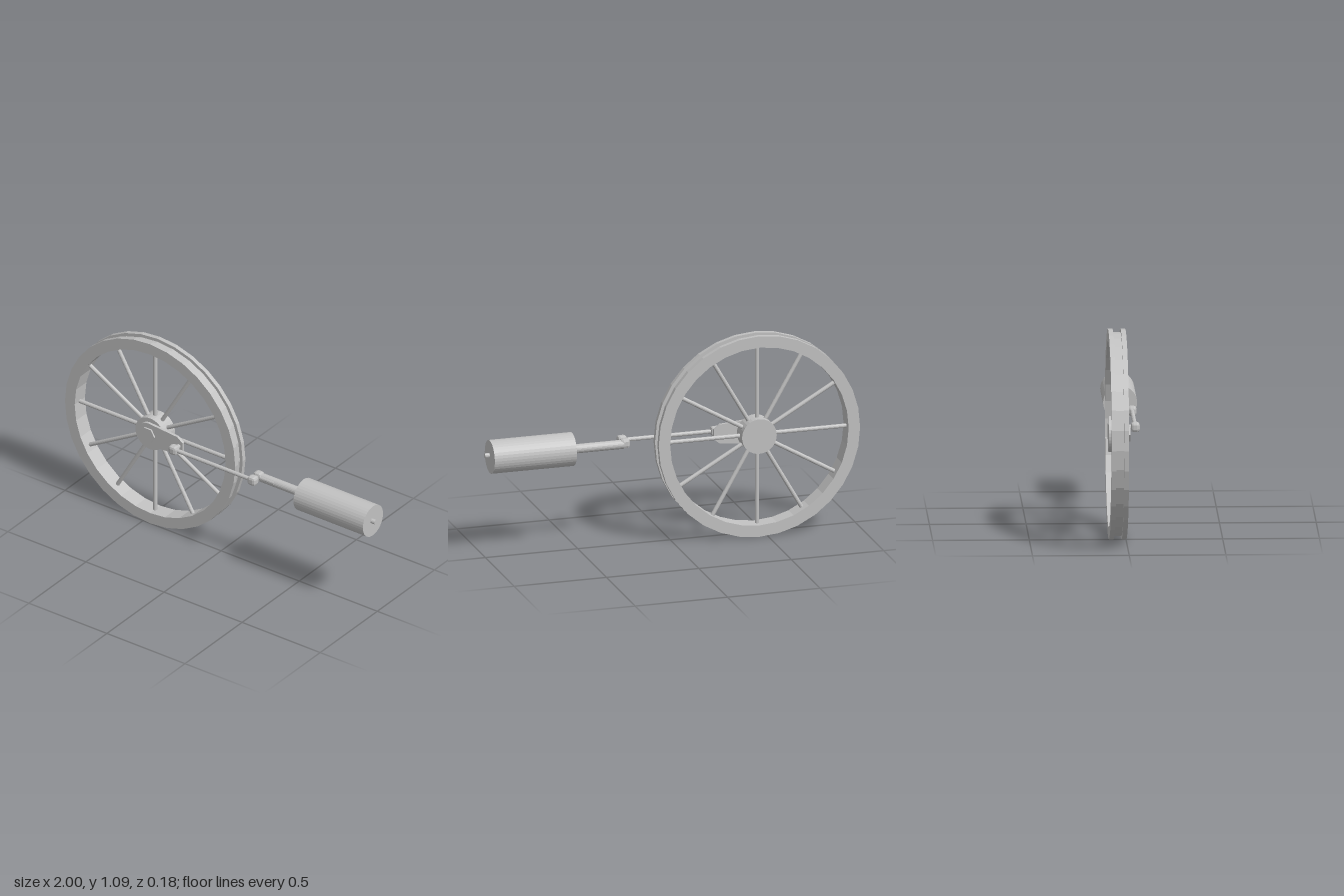
import * as THREE from 'three';
import { RoundedBoxGeometry } from 'three/addons/geometries/RoundedBoxGeometry.js';

const metal = new THREE.MeshStandardMaterial({ color: 0xc2c2c2 });
metal.name = 'grey metal';
metal.flatShading = true;

const v = (x, y, z) => new THREE.Vector3(x, y, z);
const UP = v(0, 1, 0);

function add(parent, name, geometry) {
  const mesh = new THREE.Mesh(geometry, metal);
  mesh.name = name;
  parent.add(mesh);
  return mesh;
}

// Cylinder running between two points
function bar(parent, name, a, b, radius, sides = 12) {
  const mesh = add(parent, name, new THREE.CylinderGeometry(radius, radius, a.distanceTo(b), sides));
  mesh.position.copy(a).add(b).multiplyScalar(0.5);
  mesh.quaternion.setFromUnitVectors(UP, b.clone().sub(a).normalize());
  return mesh;
}

// Chamfered joint block
function joint(parent, name, x, y, z) {
  add(parent, name, new RoundedBoxGeometry(0.05, 0.05, 0.046, 1, 0.014)).position.set(x, y, z);
}

function createWheel() {
  const wheel = new THREE.Group();
  wheel.name = 'wheel';

  // Rim with two flanges and a groove; the profile is radius, depth
  const profile = [
    [0.483, -0.09], [0.545, -0.09], [0.545, -0.066], [0.527, -0.066],
    [0.527, -0.025], [0.545, -0.025], [0.545, 0], [0.483, 0], [0.483, -0.09],
  ].map(([r, z]) => new THREE.Vector2(r, z));
  add(wheel, 'rim', new THREE.LatheGeometry(profile, 32).rotateX(Math.PI / 2));

  bar(wheel, 'hub', v(0, 0, -0.09), v(0, 0, 0), 0.094, 32);

  // Twelve round spokes
  for (let i = 0; i < 12; i++) {
    const a = (i * Math.PI) / 6;
    const c = Math.cos(a), s = Math.sin(a);
    bar(wheel, 'spoke', v(c * 0.08, s * 0.08, -0.045), v(c * 0.49, s * 0.49, -0.045), 0.011);
  }
  return wheel;
}

function createCrank() {
  const crank = new THREE.Group();
  crank.name = 'crank';

  // Tapered arm: round around the axle, narrow at the pin
  const shape = new THREE.Shape();
  shape.absarc(0, 0, 0.067, 1.45, 2 * Math.PI - 1.45, false);
  shape.lineTo(0.185, -0.052);
  shape.lineTo(0.218, -0.026);
  shape.lineTo(0.218, 0.026);
  shape.lineTo(0.185, 0.052);
  shape.closePath();
  add(crank, 'crankArm', new THREE.ExtrudeGeometry(shape, { depth: 0.015, bevelEnabled: false, curveSegments: 12 }));

  // Hexagonal axle nut, points to the sides
  const nut = add(crank, 'axleNut', new THREE.CylinderGeometry(0.044, 0.044, 0.012, 6).rotateY(Math.PI / 6));
  nut.rotation.x = Math.PI / 2;
  nut.position.z = 0.018;
  return crank;
}

export function createModel() {
  const model = new THREE.Group();
  model.name = 'flywheelAndPiston';

  const wheel = createWheel();
  wheel.position.set(-0.455, 0.545, 0);
  model.add(wheel);

  const crank = createCrank();
  crank.position.set(-0.455, 0.548, 0);
  model.add(crank);

  // Connecting rod between the crank pin and the crosshead
  const y = 0.549;
  bar(model, 'crankPin', v(-0.26, y, 0.005), v(-0.26, y, 0.057), 0.012);
  joint(model, 'crankJoint', -0.26, y, 0.056);
  bar(model, 'connectingRod', v(-0.26, y, 0.056), v(0.245, y, 0.056), 0.011);
  joint(model, 'rodJoint', 0.245, y, 0.056);
  bar(model, 'crossheadPin', v(0.245, y, 0.005), v(0.245, y, 0.056), 0.012);
  joint(model, 'crossheadJoint', 0.245, y, 0.004);

  // Piston rod, cylinder and thin rods at either end
  bar(model, 'pistonRod', v(0.255, 0.544, 0.001), v(0.54, 0.544, 0.001), 0.024, 20);
  bar(model, 'innerRod', v(0.245, y, 0.014), v(0.355, y, 0.014), 0.012);
  bar(model, 'cylinder', v(0.53, 0.544, 0.004), v(0.975, 0.544, 0.004), 0.088, 36);
  bar(model, 'tailRod', v(0.96, y, 0.014), v(1.0, y, 0.014), 0.013);

  return model;
}
